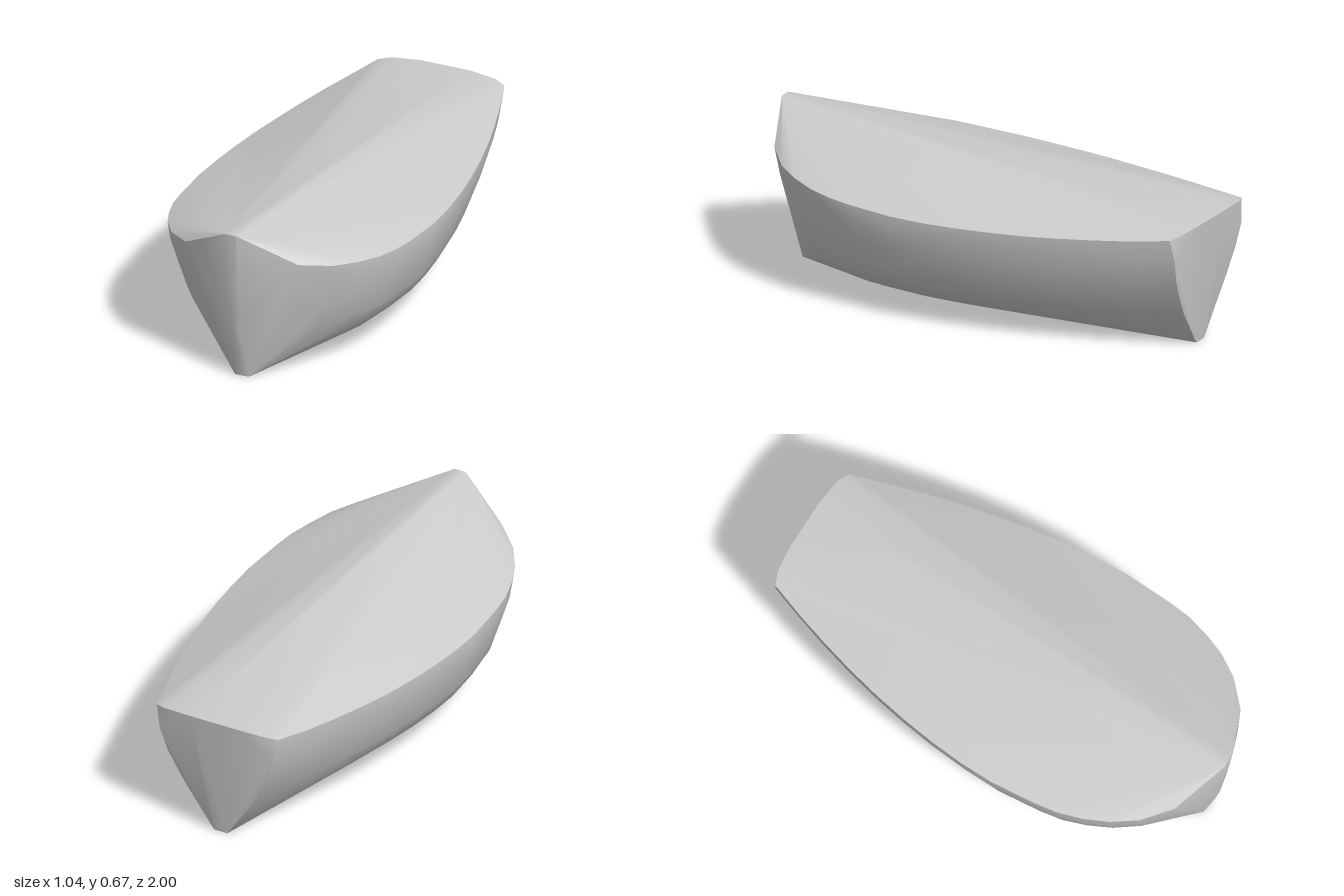
import * as THREE from 'three';
import { ConvexGeometry } from 'three/addons/geometries/ConvexGeometry.js';
import { toCreasedNormals } from 'three/addons/utils/BufferGeometryUtils.js';

// Linear lookup in a short list of [input, output] pairs
function lookup(pairs, v) {
  for (let i = 1; i < pairs.length; i++) {
    const [a, ya] = pairs[i - 1], [b, yb] = pairs[i];
    if (v <= b) return ya + (yb - ya) * Math.max(0, (v - a) / (b - a));
  }
  return pairs[pairs.length - 1][1];
}

// Bow fullness along the forward half, stem rake and deck-edge height
const FULLNESS = [[0, 1], [0.25, 0.975], [0.375, 0.95], [0.5, 0.895], [0.625, 0.815],
  [0.75, 0.69], [0.875, 0.48], [0.94, 0.27], [1, 0.04]];
const STEM = [[0, 0.9], [0.2, 0.95], [0.5, 0.985], [0.67, 1]];
const SHEER = [[-1, 0.528], [-0.8, 0.508], [-0.4, 0.485], [0, 0.475], [0.3, 0.477],
  [0.6, 0.495], [0.8, 0.52], [0.9, 0.545], [0.95, 0.58], [1, 0.66]];
const WIDEST = 0.2;

// Waterlines: height, greatest half width, transom half width, fineness of bow
const WATERLINES = [
  [0.05, 0.26, 0.05, 1.8],
  [0.10, 0.35, 0.09, 1.6],
  [0.16, 0.42, 0.14, 1.45],
  [0.23, 0.46, 0.18, 1.3],
  [0.33, 0.49, 0.23, 1.15],
  [0.43, 0.519, 0.26, 1.05],
];

export function createModel() {
  const group = new THREE.Group();
  const points = [];
  const addPair = (x, y, z) => points.push(new THREE.Vector3(x, y, z), new THREE.Vector3(-x, y, z));

  const addWaterline = (height, width, transom, fineness, sheer) => {
    const stern = sheer ? -0.965 : -0.94 - 0.06 * height / 0.54 + 0.01;
    const bow = sheer ? 1 : lookup(STEM, height);
    const steps = 8;
    for (let i = 0; i <= steps; i++) {
      const s = i / steps;
      const z = WIDEST + (stern - WIDEST) * s;
      addPair(transom + (width - transom) * (1 - s ** 1.8), sheer ? lookup(SHEER, z) : height, z);
    }
    for (const [s, f] of FULLNESS) {
      const z = WIDEST + (bow - WIDEST) * s;
      addPair(width * f ** fineness, sheer ? lookup(SHEER, z) : height, z);
    }
  };

  // Sides and deck edge
  for (const line of WATERLINES) addWaterline(...line, false);
  addWaterline(0.475, 0.52, 0.28, 1, true);

  // Flat keel, raked stem head and rounded transom top
  addPair(0.03, 0, 0.9);
  addPair(0.03, 0, -0.94);
  addPair(0.025, 0.67, 1);
  addPair(0.11, 0.54, -1);
  addPair(0.23, 0.533, -0.987);

  const hull = new THREE.Mesh(
    toCreasedNormals(new ConvexGeometry(points), 0.5),
    new THREE.MeshStandardMaterial({ color: 0xcccccc }),
  );
  hull.name = 'boatHull';
  group.add(hull);
  return group;
}
